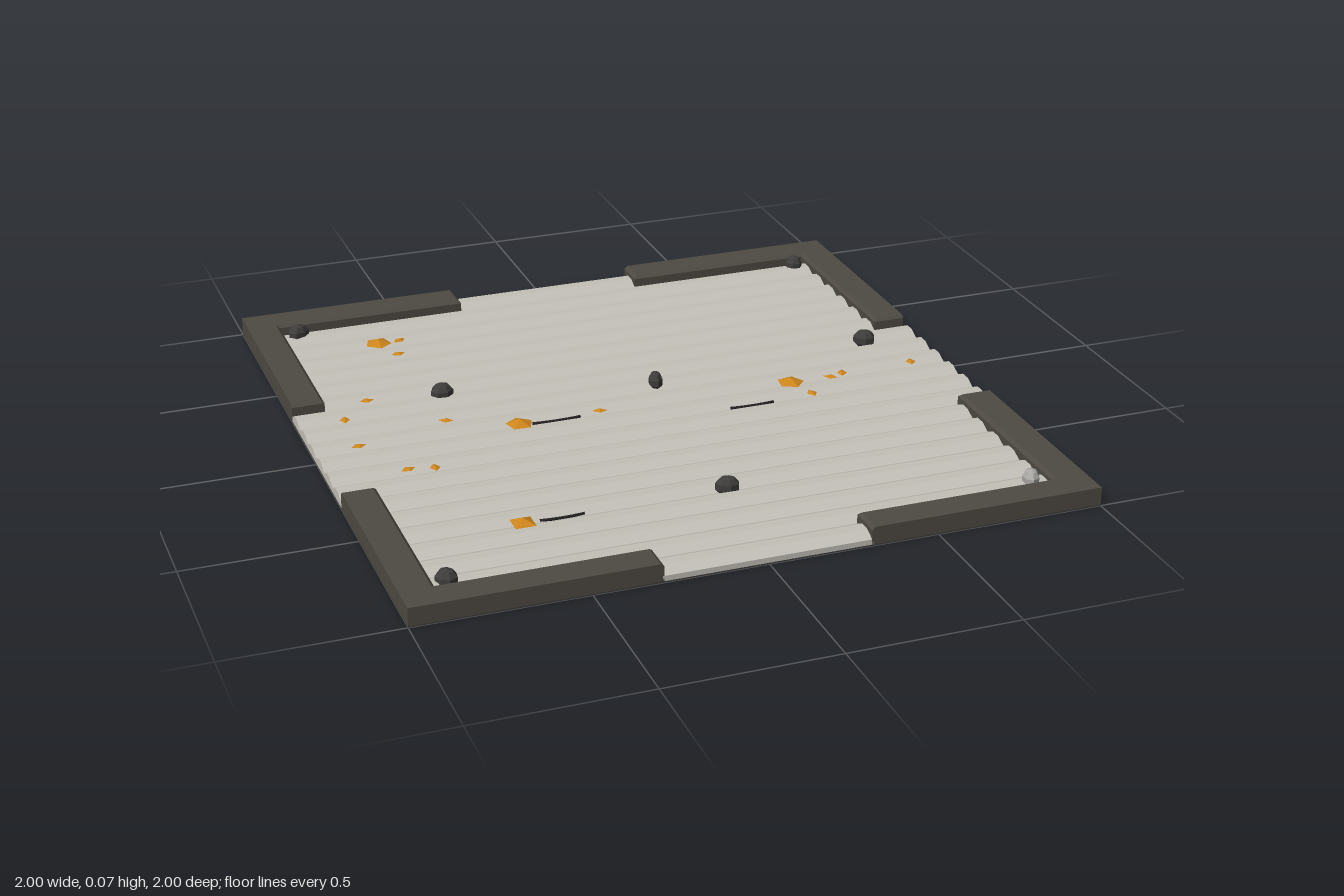
import * as THREE from 'three';

const mat = (name, color) => {
  const m = new THREE.MeshStandardMaterial({ color });
  m.name = name;
  return m;
};

export function createModel() {
  const root = new THREE.Group();
  root.name = 'corrugatedFloorTile';
  const panel = mat('paleMetal', 0xc3c0b8);
  const frame = mat('darkFrame', 0x4e4a43);
  const black = mat('nearBlack', 0x262524);
  const charcoal = mat('charcoal', 0x3e3d3b);
  const pale = mat('paleStone', 0xa8a7a4);
  const rust = mat('rustOrange', 0xce861c);

  const add = (name, geo, material, parent = root) => {
    const m = new THREE.Mesh(geo, material);
    m.name = name;
    parent.add(m);
    return m;
  };
  const faceted = (geo) => {
    const g = geo.index ? geo.toNonIndexed() : geo;
    g.computeVertexNormals();
    return g;
  };

  // Underside plate
  add('basePlate', new THREE.BoxGeometry(2, 0.004, 2), charcoal).position.y = 0.002;

  // Corrugated sheets: ridges run along x, one per 0.1 of depth
  const sheet = (name, halfX, z0, z1) => {
    const s = new THREE.Shape();
    s.moveTo(z0, 0.004);
    s.lineTo(z1, 0.004);
    const steps = Math.round((z1 - z0) / 0.1) * 3;
    for (let i = steps; i >= 0; i--) {
      s.lineTo(z0 + (z1 - z0) * i / steps, i % 3 ? 0.036 : 0.02);
    }
    const g = new THREE.ExtrudeGeometry(s, { depth: halfX * 2, bevelEnabled: false });
    g.translate(0, 0, -halfX);
    g.rotateY(Math.PI / 2);
    add(name, g, panel);
  };
  sheet('middleSheet', 1, -0.3, 0.3);
  for (const [z0, z1] of [[-0.9, -0.3], [0.3, 0.9]]) sheet('innerSheet', 0.905, z0, z1);
  for (const [z0, z1] of [[-1, -0.9], [0.9, 1]]) sheet('doorwaySheet', 0.305, z0, z1);

  // L-shaped corner rails, chamfered on the inner edges and ends
  const outline = (i) => [
    [1, 1], [0.3 + i, 1], [0.3 + i, 0.9 + i], [0.9 + i, 0.9 + i], [0.9 + i, 0.3 + i], [1, 0.3 + i],
  ];
  const band = (lower, y0, upper, y1) => {
    const pos = [];
    lower.forEach(([ax, az], k) => {
      const n = (k + 1) % lower.length;
      const [bx, bz] = lower[n], [cx, cz] = upper[n], [dx, dz] = upper[k];
      pos.push(ax, y0, az, cx, y1, cz, bx, y0, bz, ax, y0, az, dx, y1, dz, cx, y1, cz);
    });
    const g = new THREE.BufferGeometry();
    g.setAttribute('position', new THREE.Float32BufferAttribute(pos, 3));
    g.computeVertexNormals();
    return g;
  };
  const wide = outline(0), narrow = outline(0.01);
  const sides = band(wide, 0.004, wide, 0.048);
  const chamfer = band(wide, 0.048, narrow, 0.057);
  const top = new THREE.ShapeGeometry(new THREE.Shape(narrow.map(([x, z]) => new THREE.Vector2(x, -z))));
  top.rotateX(-Math.PI / 2);
  top.translate(0, 0.057, 0);
  for (let q = 0; q < 4; q++) {
    const corner = new THREE.Group();
    corner.name = 'cornerRail';
    corner.rotation.y = q * Math.PI / 2;
    add('railSides', sides, frame, corner);
    add('railChamfer', chamfer, frame, corner);
    add('railTop', top, frame, corner);
    root.add(corner);
  }

  // Pebbles: x, z, radius along x, radius along z, turn
  const pebble = faceted(new THREE.SphereGeometry(1, 7, 5));
  [
    [-0.85, -0.855, 0.037, 0.027, 0.4], [0.855, -0.86, 0.029, 0.031, 0.2],
    [-0.855, 0.855, 0.03, 0.034, 0.7], [0.855, 0.855, 0.026, 0.034, -0.4],
    [-0.545, -0.27, 0.037, 0.032, 0.1], [0.09, -0.13, 0.023, 0.031, -0.2],
    [0.82, -0.205, 0.036, 0.031, -0.5], [0.035, 0.605, 0.037, 0.027, -0.3],
  ].forEach(([x, z, rx, rz, turn], i) => {
    const m = add('pebble', pebble, i === 3 ? pale : charcoal);
    m.position.set(x, 0.041, z);
    m.scale.set(rx, 0.031, rz);
    m.rotation.y = turn;
  });

  // Rust crystals: x, z, turn, number of sides
  [
    [-0.64, -0.66, 0.3, 5], [-0.4, 0.05, 0.9, 5], [0.46, 0.05, 0.5, 5], [-0.58, 0.65, 0.78, 4],
  ].forEach(([x, z, turn, n]) => {
    const m = add('rustCrystal', faceted(new THREE.SphereGeometry(1, n, 2)), rust);
    m.position.set(x, 0.056, z);
    m.scale.set(0.042, 0.015, 0.042);
    m.rotation.y = turn;
  });

  // Low rust flakes in the grooves: x, z, turn
  const flake = faceted(new THREE.OctahedronGeometry(1));
  [
    [-0.56, -0.71, 0.6], [-0.59, -0.61, 0.2], [-0.77, -0.305, 0.1], [-0.865, -0.195, 1.4],
    [-0.585, -0.09, -0.4], [-0.87, -0.01, 0.2], [-0.135, 0, -0.2], [-0.775, 0.185, 0.3],
    [-0.7, 0.2, 1.5], [0.61, 0.01, -0.6], [0.655, -0.005, 1.2], [0.51, 0.1, 1.6], [0.89, -0.01, 1.3],
  ].forEach(([x, z, turn]) => {
    const m = add('rustFlake', flake, rust);
    m.position.set(x, 0.034, z);
    m.scale.set(0.024, 0.006, 0.016);
    m.rotation.y = turn;
  });

  // Slightly bowed dark scratches lying in the grooves
  for (const [x, z, len] of [[-0.27, 0, 0.15], [0.315, 0.1, 0.14], [-0.45, 0.597, 0.13]]) {
    const path = new THREE.QuadraticBezierCurve3(
      new THREE.Vector3(-len / 2, 0, -0.003), new THREE.Vector3(0, 0, 0.006), new THREE.Vector3(len / 2, 0, -0.003));
    add('scratch', new THREE.TubeGeometry(path, 8, 0.0045, 5), black).position.set(x, 0.0235, z);
  }
  return root;
}
